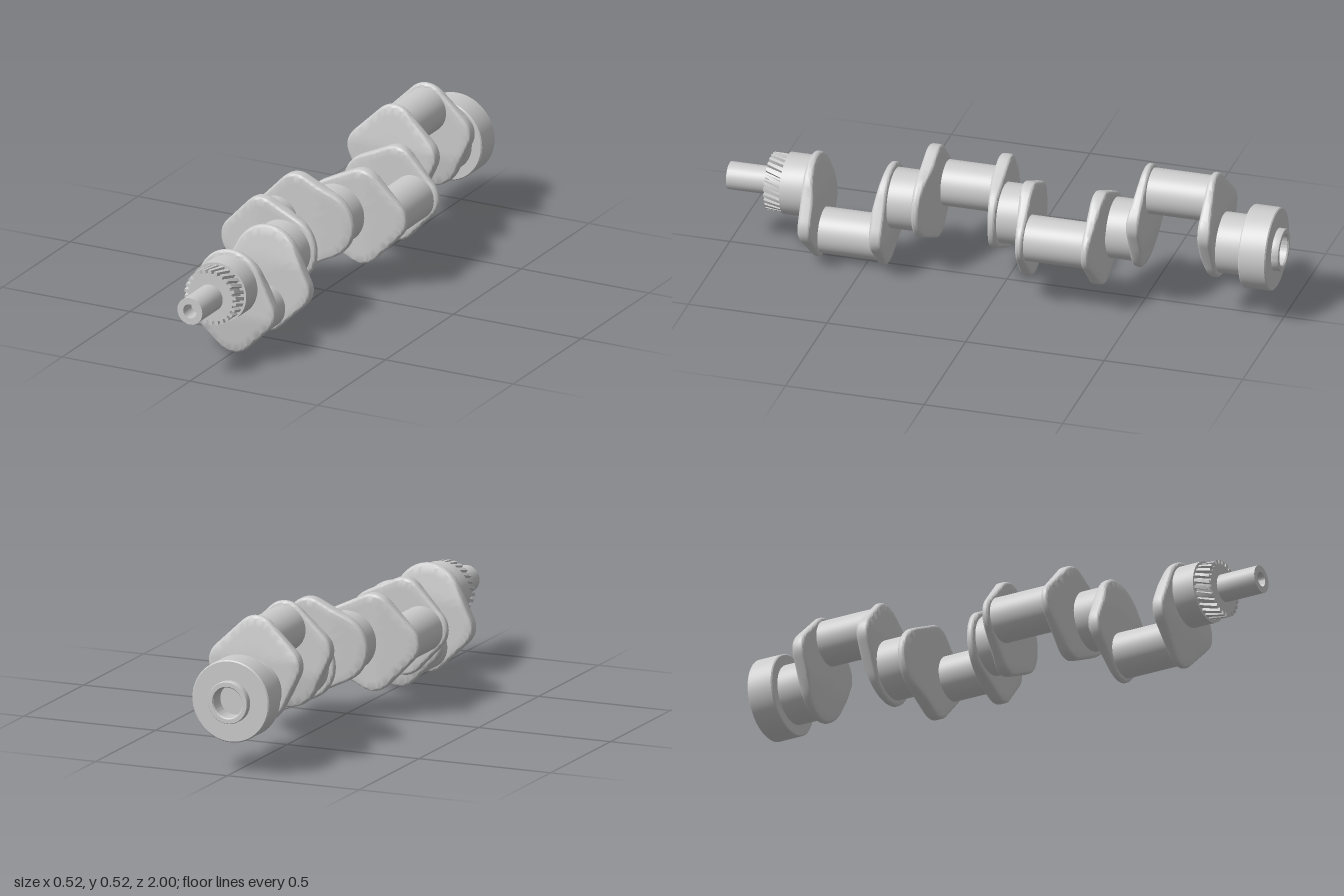
import * as THREE from 'three';
import { toCreasedNormals } from 'three/addons/utils/BufferGeometryUtils.js';

const AXIS_Y = 0.258;      // height of the rotation axis
const PIN_OFFSET = 0.162;  // crank radius
const PIN_HALF = 0.105;    // half length of a crank pin
const WEB = 0.047;         // web thickness
const material = new THREE.MeshStandardMaterial({ color: 0xcccccc });

function add(parent, name, geometry) {
  const mesh = new THREE.Mesh(geometry, material);
  mesh.name = name;
  parent.add(mesh);
  return mesh;
}

// Solid of revolution about z; profile is [radius, z] running from back to front
function turned(profile, segments = 48) {
  const g = new THREE.LatheGeometry(profile.map(([r, z]) => new THREE.Vector2(r, z)), segments);
  g.rotateX(Math.PI / 2);
  return toCreasedNormals(g, 0.6);
}

function journal(radius, z0, z1) {
  return turned([[0, z0], [radius, z0], [radius, z1], [0, z1]]);
}

// Rounded web outline: hull of four circles, pin direction is +y
function webOutline() {
  const circles = [[0.098, 0.09, 0.075], [0, 0.178, 0.08], [-0.098, 0.09, 0.075], [0, 0, 0.125]];
  const tangent = ([ax, ay, ar], [bx, by, br]) =>
    Math.atan2(by - ay, bx - ax) - Math.acos((ar - br) / Math.hypot(bx - ax, by - ay));
  const shape = new THREE.Shape();
  circles.forEach((c, i) => {
    const from = tangent(circles[(i + 3) % 4], c);
    const to = tangent(c, circles[(i + 1) % 4]);
    shape.absarc(c[0], c[1], c[2], from, to, false);
  });
  shape.closePath();
  return shape.getSpacedPoints(96).slice(0, 96);
}

// Web lofted in rings: pin face near z = 0, journal face near z = WEB
function webGeometry() {
  const outline = webOutline(), n = outline.length, cy = 0.06, edge = 0.011;
  const half = [0, 0.2, 0.4, 0.6, 0.8].map((s) => [s, 0]);
  for (let i = 0; i <= 4; i++) {
    const a = (i / 4) * Math.PI / 2;
    half.push([1 - (edge / 0.17) * (1 - Math.sin(a)), edge * (1 - Math.cos(a))]);
  }
  const rings = [
    ...half.map(([s, inset]) => [s, inset, false]),
    ...half.slice().reverse().map(([s, inset]) => [s, inset, true]),
  ];
  const positions = [], index = [];
  rings.forEach(([s, inset, journalSide], k) => {
    outline.forEach((p, j) => {
      const x = p.x * s, y = cy + (p.y - cy) * s;
      // each face slopes away at the end it does not support
      const pinFace = 0.02 * THREE.MathUtils.clamp(-y / 0.125, 0, 1);
      const journalFace = WEB - 0.021 * THREE.MathUtils.clamp((y - 0.11) / 0.148, 0, 1);
      positions.push(x, y, journalSide ? journalFace - inset : pinFace + inset);
      if (k < rings.length - 1) {
        const a = k * n + j, b = k * n + (j + 1) % n;
        index.push(a, b, b + n, a, b + n, a + n);
      }
    });
  });
  const g = new THREE.BufferGeometry();
  g.setAttribute('position', new THREE.Float32BufferAttribute(positions, 3));
  g.setIndex(index);
  return toCreasedNormals(g, 0.6);
}

// Helical gear: extruded tooth profile twisted along its length
function gearGeometry(teeth, root, tip, length, twist) {
  const shape = new THREE.Shape();
  for (let i = 0; i < teeth; i++) {
    [[0, root], [0.36, root], [0.24 + 0.2, tip], [0.92, tip]].forEach(([f, r], k) => {
      const a = ((i + f) / teeth) * Math.PI * 2;
      const x = r * Math.cos(a), y = r * Math.sin(a);
      if (i + k === 0) shape.moveTo(x, y);
      else shape.lineTo(x, y);
    });
  }
  shape.closePath();
  const g = new THREE.ExtrudeGeometry(shape, { depth: length, steps: 6, bevelEnabled: false });
  const pos = g.attributes.position, v = new THREE.Vector3(), zAxis = new THREE.Vector3(0, 0, 1);
  for (let i = 0; i < pos.count; i++) {
    v.fromBufferAttribute(pos, i);
    v.applyAxisAngle(zAxis, (twist * v.z) / length);
    pos.setXYZ(i, v.x, v.y, v.z);
  }
  return toCreasedNormals(g, 0.4);
}

export function createModel() {
  const model = new THREE.Group();
  model.name = 'crankshaft';
  const shaft = new THREE.Group();
  shaft.name = 'shaft';
  shaft.position.y = AXIS_Y;
  model.add(shaft);

  // Four crank throws: a pin between two mirrored webs
  const web = webGeometry();
  const pin = journal(0.081, -PIN_HALF - 0.005, PIN_HALF + 0.005);
  const angles = [Math.PI, Math.PI / 2, -Math.PI / 2, 0];
  const centres = [0.555, 0.16, -0.235, -0.63];
  angles.forEach((angle, i) => {
    const crank = new THREE.Group();
    crank.name = 'crankThrow' + (i + 1);
    crank.position.z = centres[i];
    crank.rotation.z = angle;
    shaft.add(crank);
    add(crank, 'crankPin', pin).position.y = PIN_OFFSET;
    add(crank, 'frontWeb', web).position.z = PIN_HALF;
    const back = add(crank, 'backWeb', web);
    back.position.z = -PIN_HALF;
    back.rotation.y = Math.PI;
  });

  // Main journals between and outside the throws
  const reach = PIN_HALF + WEB - 0.005;
  for (let i = 0; i < 3; i++) {
    add(shaft, 'mainJournal', journal(0.107, centres[i + 1] + reach, centres[i] - reach));
  }
  add(shaft, 'frontJournal', journal(0.109, centres[0] + reach, 0.79));
  add(shaft, 'rearJournal', journal(0.107, -0.88, centres[3] - reach));

  // Timing gear and hollow nose at the front
  add(shaft, 'timingGear', gearGeometry(26, 0.087, 0.101, 0.065, 0.22)).position.z = 0.785;
  add(shaft, 'nose', turned([
    [0, 0.84], [0.049, 0.84], [0.049, 1], [0.026, 1], [0.026, 0.94], [0, 0.94],
  ], 24));

  // Rear flange with hollow spigot
  add(shaft, 'rearFlange', turned([
    [0, -0.94], [0.054, -0.94], [0.054, -0.995], [0.058, -1], [0.073, -1], [0.075, -0.997],
    [0.075, -0.975], [0.142, -0.975], [0.146, -0.971], [0.146, -0.88], [0.142, -0.876], [0, -0.876],
  ], 64));

  return model;
}
